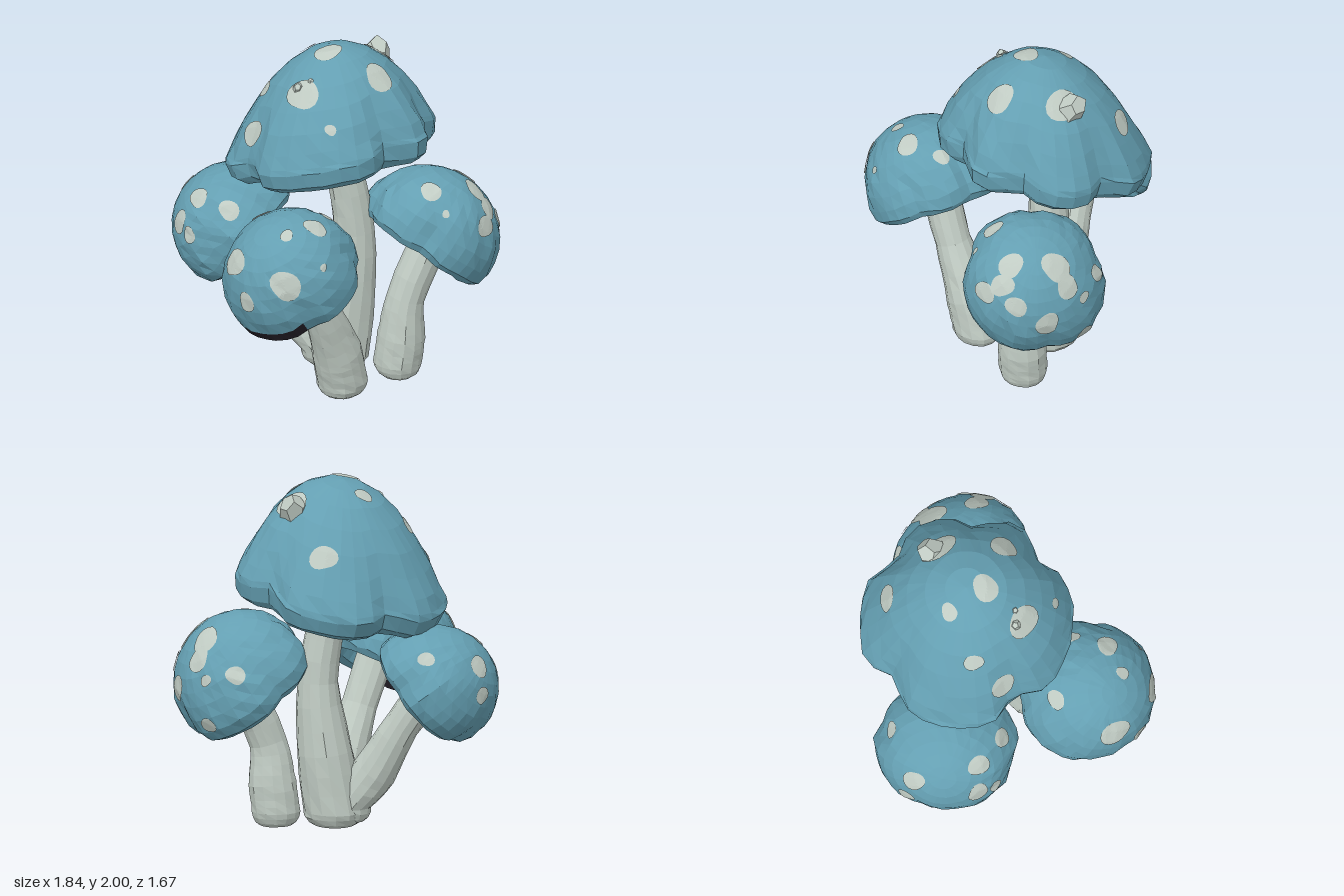
import * as THREE from 'three';

const V = (x, y, z) => new THREE.Vector3(x, y, z);
const paint = (name, color, extra = {}) =>
  Object.assign(new THREE.MeshStandardMaterial({ color, flatShading: true, ...extra }), { name });

// Repeatable noise in -1..1
const noise = (a, b, c) => {
  const s = Math.sin(a * 12.99 + b * 78.23 + c * 37.7) * 43758.55;
  return (s - Math.floor(s)) * 2 - 1;
};

// Skin a closed tube of rows; pick(i, j) gives the material slot of each quad
function loft(rows, cols, point, pick = () => 0) {
  const grid = [];
  for (let i = 0; i < rows; i++) {
    grid.push([]);
    for (let j = 0; j < cols; j++) grid[i].push(point(i, j));
  }
  const slots = [[], [], []];
  const tri = new THREE.Triangle();
  const add = (slot, a, b, c) => {
    if (tri.set(a, b, c).getArea() > 1e-8) slots[slot].push(a, b, c);
  };
  for (let i = 0; i < rows - 1; i++) for (let j = 0; j < cols; j++) {
    const k = (j + 1) % cols, s = pick(i, j);
    add(s, grid[i][j], grid[i][k], grid[i + 1][j]);
    add(s, grid[i][k], grid[i + 1][k], grid[i + 1][j]);
  }
  const geo = new THREE.BufferGeometry().setFromPoints(slots.flat());
  let start = 0;
  slots.forEach((s, n) => {
    if (s.length) geo.addGroup(start, s.length, n);
    start += s.length;
  });
  geo.computeVertexNormals();
  return geo;
}

// Cap section: domed top, rolled lip, hollow underside
const RIM = 8, LIP = 12, CAP_ROWS = 18;
function capSection(i, { radius, height, power, hollow, roll }) {
  if (i <= RIM) {
    const a = i / RIM * Math.PI / 2;
    return [radius * Math.sin(a), i === RIM ? 0 : height * Math.pow(Math.cos(a), power)];
  }
  if (i <= LIP) {
    const a = (i - RIM) / (LIP - RIM) * Math.PI;
    return [radius * (.87 + .13 * Math.cos(a)), -roll * Math.sin(a)];
  }
  const a = (i - LIP) / (CAP_ROWS - 1 - LIP) * Math.PI / 2;
  return [radius * .74 * Math.cos(a), hollow * Math.sin(a)];
}

function capGeometry(m) {
  const cols = 36;
  const turn = new THREE.Quaternion().setFromUnitVectors(V(0, 1, 0), V(...m.axis).normalize());
  const angle = (j) => j / cols * Math.PI * 2;
  return loft(CAP_ROWS, cols, (i, j) => {
    let [r, y] = capSection(i, m);
    const a = angle(j), rim = Math.pow(r / m.radius, 2);
    // creases between the lobes of the rim
    let dent = 0;
    for (const n of m.notches) {
      const d = a - n * Math.PI / 180;
      dent += Math.exp(-Math.pow(Math.atan2(Math.sin(d), Math.cos(d)) / .2, 2));
    }
    const rough = noise(i, j, m.seed) * .007 * rim;
    r = r * (1 - m.depth * dent * rim) + rough;
    y += rough + rim * dent * m.depth * .25;
    if (i > LIP) y += Math.sin(a * 7 + m.seed) * .04 * rim;
    return V(r * Math.cos(a), y, r * Math.sin(a)).applyQuaternion(turn)
      .addScaledVector(V(...m.lean), Math.max(0, y / m.height))
      .multiply(V(...m.scale)).add(V(...m.centre));
  }, (i, j) => {
    const a = angle(j) * 180 / Math.PI, [from, to, band] = m.dark;
    if (i >= RIM + band && i < LIP - 1 && a >= from && a <= to) return 2;
    return i < LIP ? 0 : 1;
  });
}

// Sight lines along which spots are placed
const SIGHT = {
  front: (u, v) => [V(u, v, 3), V(0, 0, -1)],
  right: (u, v) => [V(3, v, u), V(-1, 0, 0)],
  left: (u, v) => [V(-3, v, u), V(1, 0, 0)],
  top: (u, v) => [V(u, 3, v), V(0, -1, 0)],
};

// Thin round patch that follows the surface of a mesh
function spotGeometry(mesh, [sight, u, v, radius], seed) {
  const caster = new THREE.Raycaster();
  const cast = (origin, direction) => {
    caster.set(origin, direction);
    return caster.intersectObject(mesh)[0];
  };
  const hit = cast(...SIGHT[sight](u, v));
  if (!hit) return null;
  const n = hit.face.normal.clone(), back = n.clone().negate();
  const p = V(0, 1, .01).cross(n).normalize(), q = n.clone().cross(p);
  const cols = 18, last = [];
  return loft(7, cols, (i, j) => {
    const a = -j / cols * Math.PI * 2;
    const r = radius * i / 6 * (1 + .1 * Math.sin(2 * a + seed) + .05 * Math.sin(3 * a + seed * 2));
    const o = hit.point.clone().addScaledVector(n, .2)
      .addScaledVector(p, r * Math.cos(a)).addScaledVector(q, r * Math.sin(a));
    const h = cast(o, back);
    if (h && h.distance < .36) last[j] = h.point.clone().addScaledVector(n, .007);
    return (last[j] || hit.point).clone();
  });
}

// Stem from points [x, y, z, radius], listed from the ground up, with a rounded foot
function stemGeometry({ stem, seed }) {
  const path = new THREE.CatmullRomCurve3(stem.map(([x, y, z]) => V(x, y, z)));
  const rows = 13, cols = 14, n = stem.length - 1;
  const foot = [[.96, -.03], [.85, -.06], [.66, -.08], [0, -.085]];
  return loft(rows + foot.length, cols, (i, j) => {
    const t = Math.max(0, 1 - i / (rows - 1));
    const k = Math.min(n - 1, Math.floor(t * n));
    let r = THREE.MathUtils.lerp(stem[k][3], stem[k + 1][3], t * n - k);
    const up = path.getTangent(t), c = path.getPoint(t);
    if (i >= rows) {
      r *= foot[i - rows][0];
      c.y += foot[i - rows][1];
    }
    const a = j / cols * Math.PI * 2;
    r *= 1 + .03 * Math.sin(3 * a + seed) + .02 * noise(i, j, seed);
    // rings turn level towards the ground
    up.lerp(V(0, 1, 0), Math.max(0, 1 - t * 3)).normalize();
    const side = V(1, 0, 0).addScaledVector(up, -up.x).normalize();
    const front = side.clone().cross(up);
    return c.addScaledVector(side, r * Math.cos(a)).addScaledVector(front, r * Math.sin(a));
  }, (i) => (i > rows + 1 ? 2 : 1));
}

function put(parent, name, geometry, material) {
  const mesh = new THREE.Mesh(geometry, material);
  mesh.name = name;
  parent.add(mesh);
  return mesh;
}

// One mushroom; the defaults describe the small kind
const SMALL = { radius: .405, height: .41, power: 1, hollow: .18, roll: .1, depth: .07,
  lean: [0, 0, 0], scale: [1, 1, 1], dark: [-2, -1, 0], patches: [] };
function mushroom(name, materials, options) {
  const m = { ...SMALL, ...options };
  const group = new THREE.Group();
  group.name = name;
  const stem = put(group, 'stem', stemGeometry(m), materials);
  const cap = put(group, 'cap', capGeometry(m), materials);
  const decorate = (mesh, list, label, material) => list.forEach((spot, n) => {
    const geometry = spotGeometry(mesh, spot, n + m.seed);
    if (geometry) put(group, label, geometry, material);
  });
  decorate(cap, m.spots, 'spot', materials[1]);
  decorate(stem, m.patches, 'stemPatch', materials[0]);
  return group;
}

export function createModel() {
  const cream = paint('paleCream', 0xc0cbc3, { side: THREE.DoubleSide });
  const materials = [paint('capBlue', 0x649fb2), cream, paint('darkBase', 0x241f27)];
  const model = new THREE.Group();
  model.name = 'mushroomCluster';

  const tall = mushroom('tallMushroom', materials, {
    seed: 1, radius: .605, height: .62, power: 1.8, hollow: .08, roll: .12, depth: .15,
    centre: [-.015, 1.39, -.23], axis: [-.2, 1, -.13], lean: [.1, 0, .08], notches: [48, 2, 307, 228, 145],
    stem: [[.01, .115, -.26, .175], [.06, .45, -.28, .155], [.1, .85, -.28, .115], [.05, 1.2, -.26, .105],
      [-.02, 1.5, -.25, .25]],
    spots: [['top', 0, -.67, .075], ['top', .23, -.4, .1], ['top', -.16, -.31, .05], ['top', -.03, -.12, .075],
      ['top', .26, -.04, .085], ['front', -.43, 1.53, .075], ['front', -.38, 1.73, .055],
      ['front', -.15, 1.82, .095], ['front', .02, 1.68, .032]],
  });
  const left = mushroom('leftMushroom', materials, {
    seed: 2, centre: [-.54, .84, -.3], axis: [-.78, .62, 0], scale: [.93, .87, 1], notches: [30, 100, 200, 290],
    stem: [[-.07, .14, -.25, .13], [-.22, .35, -.27, .125], [-.38, .62, -.3, .1], [-.6, .92, -.3, .11]],
    patches: [['left', -.2, .42, .05], ['left', -.18, .33, .045]],
    spots: [['front', -.75, 1.08, .062], ['front', -.57, 1.06, .058], ['front', -.79, .89, .045],
      ['left', -.1, .93, .065], ['top', -.84, -.46, .065], ['left', -.5, .85, .05], ['top', -.57, -.6, .045]],
  });
  const front = mushroom('frontMushroom', materials, {
    seed: 3, centre: [-.17, .845, .435], axis: [-.34, .84, .4], scale: [.97, 1, .97],
    lean: [0, 0, .03], notches: [0, 75, 250, 310], dark: [80, 138, 0],
    stem: [[.07, .11, .13, .145], [.045, .3, .18, .14], [-.03, .6, .3, .1], [-.15, 1.02, .44, .11]],
    spots: [['front', -.18, .97, .085], ['front', -.4, .84, .055], ['front', -.19, 1.2, .038],
      ['front', .02, 1.05, .022], ['front', -.48, 1.02, .085], ['top', -.36, .3, .055], ['top', 0, .36, .045],
      ['top', -.04, .56, .065]],
  });
  const right = mushroom('rightMushroom', materials, {
    seed: 4, centre: [.51, .825, -.295], axis: [.55, .8, -.32], lean: [0, 0, .06],
    notches: [90, 160, 230, 330], dark: [280, 330, 2],
    stem: [[.355, .09, -.2, .135], [.375, .25, -.2, .135], [.4, .48, -.2, .105], [.6, .95, -.3, .11]],
    spots: [['front', .55, 1.18, .06], ['front', .64, 1.08, .022], ['right', -.23, 1.13, .07],
      ['right', -.2, 1.04, .065], ['right', -.1, .97, .065], ['right', -.29, .94, .06],
      ['right', -.47, 1.1, .085], ['right', -.54, 1, .07], ['right', -.46, .82, .07], ['right', -.62, .9, .035],
      ['right', -.62, .65, .05], ['top', .5, -.65, .055]],
  });
  model.add(tall, left, front, right);

  // Raised warts on the tall cap
  const warts = [[.215, 1.84, -.43, .08, .12], [-.18, 1.84, .06, .03, .035], [-.11, 1.87, .05, .022, .03]];
  for (const [x, y, z, width, height] of warts) {
    const wart = put(tall, 'wart', new THREE.DodecahedronGeometry(1, 0), cream);
    wart.scale.set(width, height, width);
    wart.rotation.set(-.35, x * 9, -.3);
    wart.position.set(x, y, z);
  }
  return model;
}
